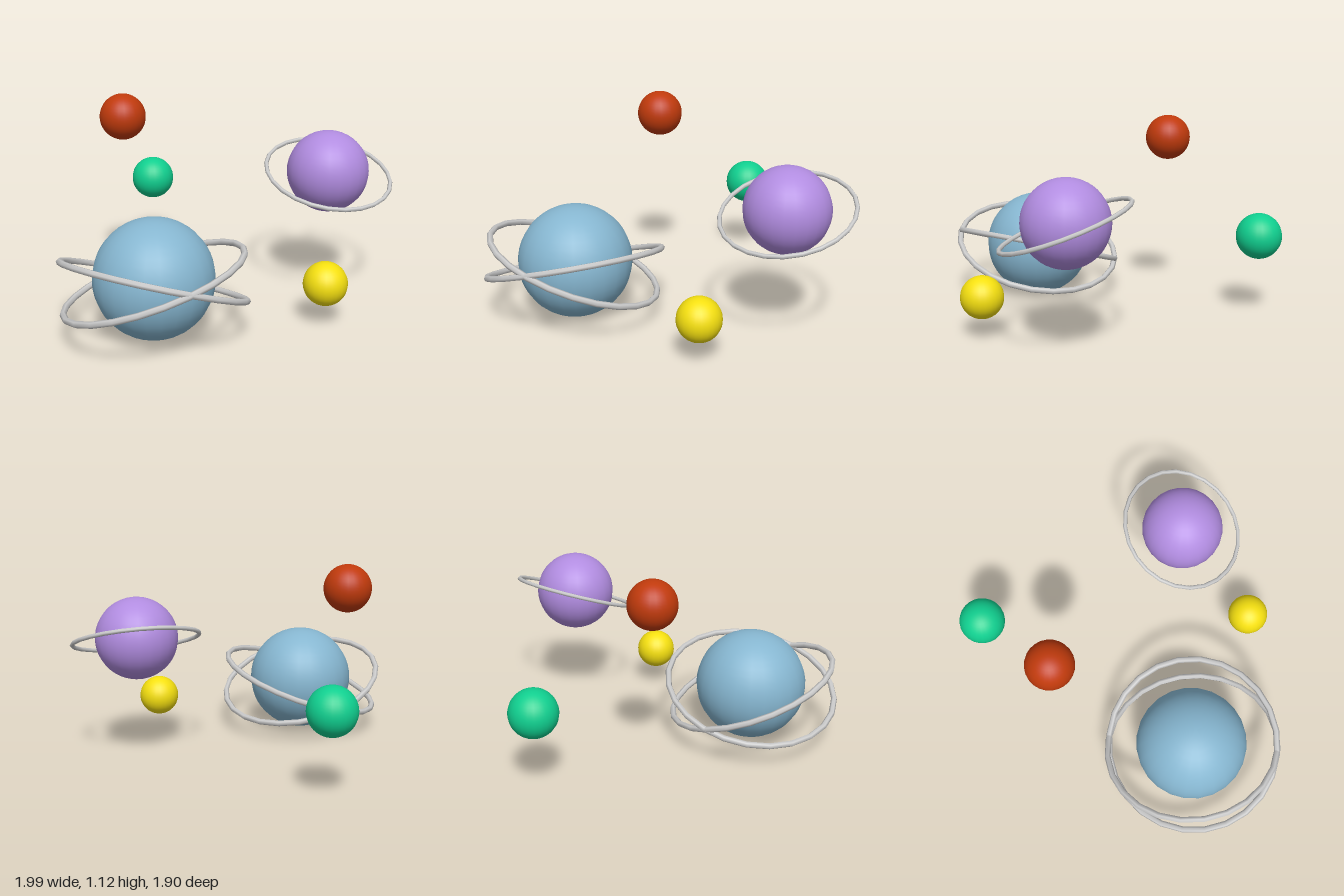
import * as THREE from 'three';

export function createModel() {
  const group = new THREE.Group();

  const add = (name, geometry, color, position) => {
    const mesh = new THREE.Mesh(geometry, new THREE.MeshStandardMaterial({ color }));
    mesh.name = name;
    mesh.position.set(...position);
    group.add(mesh);
    return mesh;
  };

  // Planets: name, radius, colour, centre
  const planets = [
    ['bluePlanet', 0.312, 0x86b6d0, [-0.51, 0.315, 0.455]],
    ['purplePlanet', 0.229, 0xb18ce0, [0.63, 0.70, 0.245]],
    ['redPlanet', 0.13, 0xc03a0c, [-0.375, 0.99, -0.33]],
    ['greenPlanet', 0.13, 0x10cf8f, [-0.005, 0.475, -0.825]],
    ['yellowPlanet', 0.117, 0xf5e010, [0.347, 0.233, 0.705]],
  ];
  for (const [name, radius, color, centre] of planets) {
    add(name, new THREE.SphereGeometry(radius, 24, 24), color, centre);
  }

  // Rings: name, radius, tube radius, centre, slope along x, slope along z
  const rings = [
    ['blueRingFallingRight', 0.483, 0.017, [-0.512, 0.302, 0.457], -0.34, 0.2],
    ['blueRingRisingRight', 0.483, 0.017, [-0.512, 0.302, 0.457], 0.28, 0.2],
    ['purpleRing', 0.352, 0.012, [0.632, 0.69, 0.248], 0.04, -0.37],
  ];
  const axis = new THREE.Vector3(0, 1, 0);
  for (const [name, radius, tube, centre, slopeX, slopeZ] of rings) {
    const geometry = new THREE.TorusGeometry(radius, tube, 6, 24).rotateX(-Math.PI / 2);
    const ring = add(name, geometry, 0xcccccc, centre);
    const normal = new THREE.Vector3(-slopeX, 1, -slopeZ).normalize();
    ring.quaternion.setFromUnitVectors(axis, normal);
  }

  return group;
}
